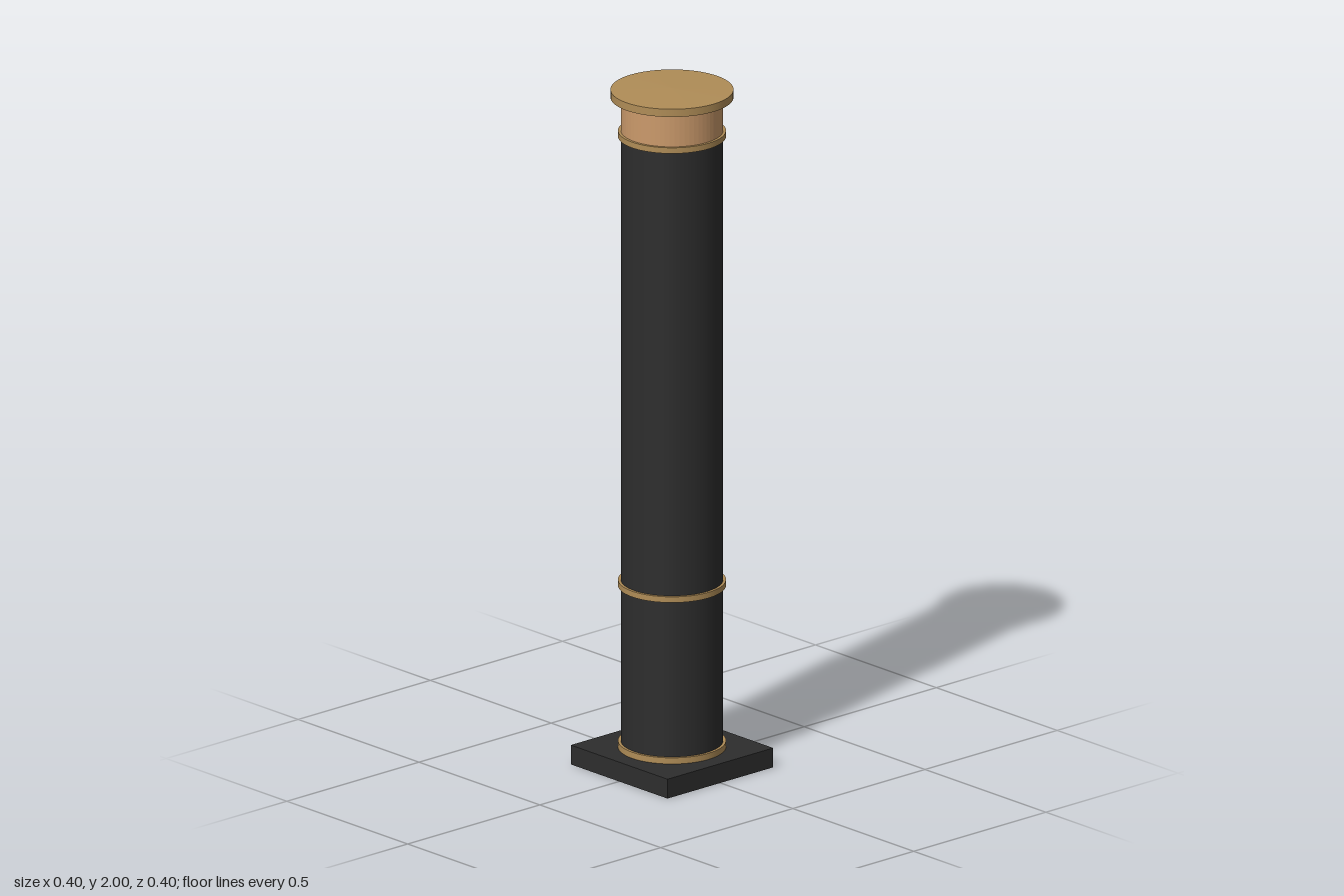
import * as THREE from 'three';

const SEGMENTS = 64;

export function createModel() {
  const model = new THREE.Group();
  model.name = 'column';

  const material = (name, color, options = {}) => {
    const m = new THREE.MeshStandardMaterial({ color, ...options });
    m.name = name;
    return m;
  };
  const black = material('black', 0x2d2d2d);
  const bronze = material('bronze', 0xb08d57);
  const copper = material('copper', 0xcb9a6b, { flatShading: true });

  const add = (name, geometry, mat, y) => {
    const mesh = new THREE.Mesh(geometry, mat);
    mesh.name = name;
    mesh.position.y = y;
    model.add(mesh);
  };
  // Upright drum between two heights
  const drum = (name, radius, bottom, top, mat) =>
    add(name, new THREE.CylinderGeometry(radius, radius, top - bottom, SEGMENTS), mat, (bottom + top) / 2);

  // Square foot
  add('plinth', new THREE.BoxGeometry(0.4, 0.057, 0.4), black, 0.0285);

  // Round body
  drum('shaft', 0.143, 0.057, 1.86, black);
  drum('neck', 0.143, 1.86, 1.973, copper);

  // Slim bands around the body
  drum('bottomRing', 0.151, 0.057, 0.075, bronze);
  drum('middleRing', 0.151, 0.533, 0.55, bronze);
  drum('topRing', 0.151, 1.858, 1.875, bronze);

  // Lid with a barely raised crown
  drum('capRim', 0.172, 1.973, 1.996, bronze);
  add('capCrown', new THREE.ConeGeometry(0.172, 0.004, SEGMENTS, 1, true), bronze, 1.998);

  return model;
}
